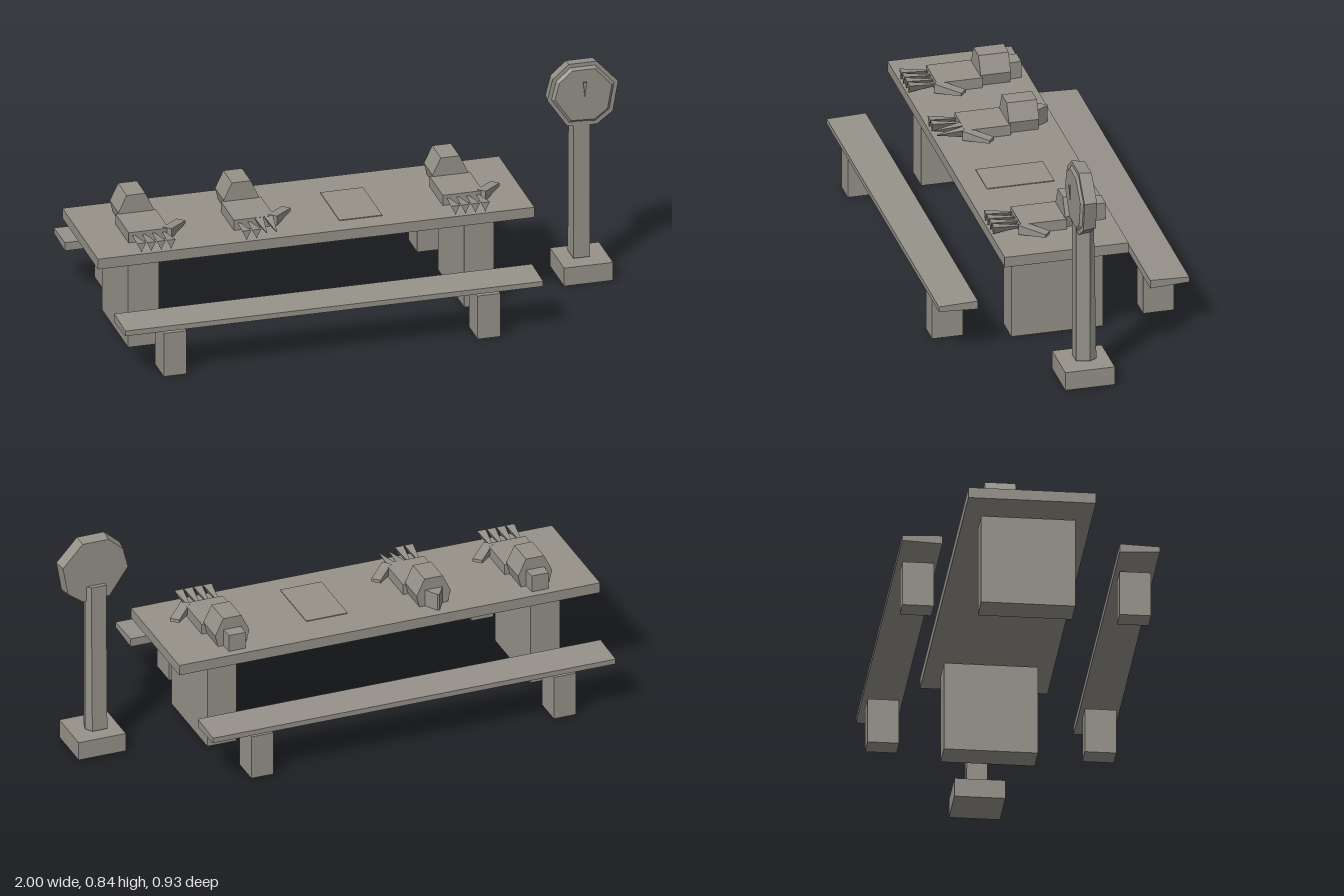
import * as THREE from 'three';

const stone = new THREE.MeshStandardMaterial({ color: 0x96928a, flatShading: true });
stone.name = 'stone';

// Rectangle ring in an xy plane, counter-clockwise from +z
const rect = (x0, x1, y0, y1, z) => [[x0, y0, z], [x1, y0, z], [x1, y1, z], [x0, y1, z]];

// Solid between two rings, counter-clockwise as seen from the side of ring b
function loft(a, b) {
  const pos = [];
  const tri = (...pts) => pts.forEach((p) => pos.push(...p));
  const n = a.length;
  for (let i = 0; i < n; i++) {
    const j = (i + 1) % n;
    tri(a[i], a[j], b[j]);
    tri(a[i], b[j], b[i]);
    if (i > 0 && j > 0) {
      tri(b[0], b[i], b[j]);
      tri(a[0], a[j], a[i]);
    }
  }
  const g = new THREE.BufferGeometry();
  g.setAttribute('position', new THREE.Float32BufferAttribute(pos, 3));
  g.computeVertexNormals();
  return g;
}

function add(parent, name, geometry) {
  const mesh = new THREE.Mesh(geometry, stone);
  mesh.name = name;
  parent.add(mesh);
  return mesh;
}

const box = (parent, name, x0, x1, y0, y1, z0, z1) =>
  add(parent, name, loft(rect(x0, x1, y0, y1, z0), rect(x0, x1, y0, y1, z1)));

// Hand-like piece lying on the table; the broken variant has a pointed wrist and two sharp fingers
function createHand(x, broken) {
  const hand = new THREE.Group();
  hand.name = 'hand';
  box(hand, 'palm', -0.075, 0.075, 0.39, 0.43, -0.045, 0.125);

  // Faceted cuff
  const cuff = (z) => [[-0.055, 0.39, z], [0.055, 0.39, z], [0.066, 0.435, z], [0.035, 0.5, z], [-0.035, 0.5, z], [-0.066, 0.435, z]];
  add(hand, 'cuff', loft(cuff(-0.152), cuff(-0.04)));

  // Wrist stub
  const tip = broken ? 0.004 : 0.032;
  add(hand, 'wrist', loft(rect(-tip, tip, 0.39, 0.455, -0.2), rect(-0.035, 0.035, 0.39, 0.455, -0.15)));

  // Four tapering fingers
  const ring = (cx, w, z) => [[cx, 0.413 - w, z], [cx + w, 0.413 + w, z], [cx - w, 0.413 + w, z]];
  for (let i = 0; i < 4; i++) {
    const cx = -0.056 + i * 0.037;
    const sharp = broken && i > 1;
    add(hand, 'finger', loft(ring(cx, sharp ? 0.017 : 0.004, 0.12), ring(cx, sharp ? 0.002 : 0.017, 0.225)));
  }

  // Slanted thumb, thinner at the tip
  const thumb = add(hand, 'thumb', loft(
    rect(-0.018, 0.018, 0.408, 0.42, -0.055), rect(-0.018, 0.018, 0.395, 0.432, 0.055)));
  thumb.position.set(0.106, 0, 0.085);
  thumb.rotation.y = -0.75;
  hand.position.x = x;
  return hand;
}

export function createModel() {
  const model = new THREE.Group();
  model.name = 'tableWithBenches';

  // Table
  box(model, 'tableTop', -1, 0.63, 0.35, 0.39, -0.23, 0.23);
  box(model, 'tableLeg', -0.87, -0.755, 0, 0.34, -0.17, 0.17);
  box(model, 'tableLeg', 0.385, 0.497, 0, 0.34, -0.17, 0.17);
  box(model, 'paper', -0.075, 0.085, 0.389, 0.393, -0.1, 0.15);

  // Benches, thinner along the outer edge
  for (const s of [1, -1]) {
    const inner = rect(-0.965, 0.595, 0.178, 0.21, s * 0.32);
    const outer = rect(-0.965, 0.595, 0.185, 0.205, s * 0.465);
    add(model, 'benchSeat', s > 0 ? loft(inner, outer) : loft(outer, inner));
    for (const x of [-0.817, 0.355]) {
      const z = s * 0.392;
      box(model, 'benchLeg', x, x + 0.085, 0, 0.17, z - 0.057, z + 0.057);
    }
  }

  // Hands on the table
  model.add(createHand(-0.78, false), createHand(-0.387, true), createHand(0.393, false));

  // Clock stand
  const clock = new THREE.Group();
  clock.name = 'clock';
  model.add(clock);
  box(clock, 'clockBase', 0.78, 0.963, 0, 0.071, -0.09, 0.094);
  const post = (y, back) => [[0.832, y, 0.035], [0.893, y, 0.035], [0.907, y, -0.012], [0.89, y, back], [0.832, y, back]];
  add(clock, 'post', loft(post(0.077, -0.041), post(0.66, -0.031)));

  // Irregular clock head with a raised dial
  const outline = [[0.81, 0.6], [0.92, 0.595], [0.98, 0.64], [1, 0.755], [0.92, 0.843], [0.815, 0.843], [0.755, 0.79], [0.735, 0.71]];
  const head = (k, z) => outline.map(([x, y]) => [0.867 + (x - 0.867) * k, 0.722 + (y - 0.722) * k, z]);
  add(clock, 'clockHead', loft(head(0.95, -0.016), head(1, 0.032)));
  add(clock, 'dial', loft(head(0.88, 0.032), head(0.8, 0.041)));
  add(clock, 'clockHand', loft(
    [[0.87, 0.715, 0.05], [0.877, 0.775, 0.05], [0.863, 0.775, 0.05]],
    [[0.87, 0.715, 0.053], [0.877, 0.775, 0.056], [0.863, 0.775, 0.056]]));
  return model;
}
